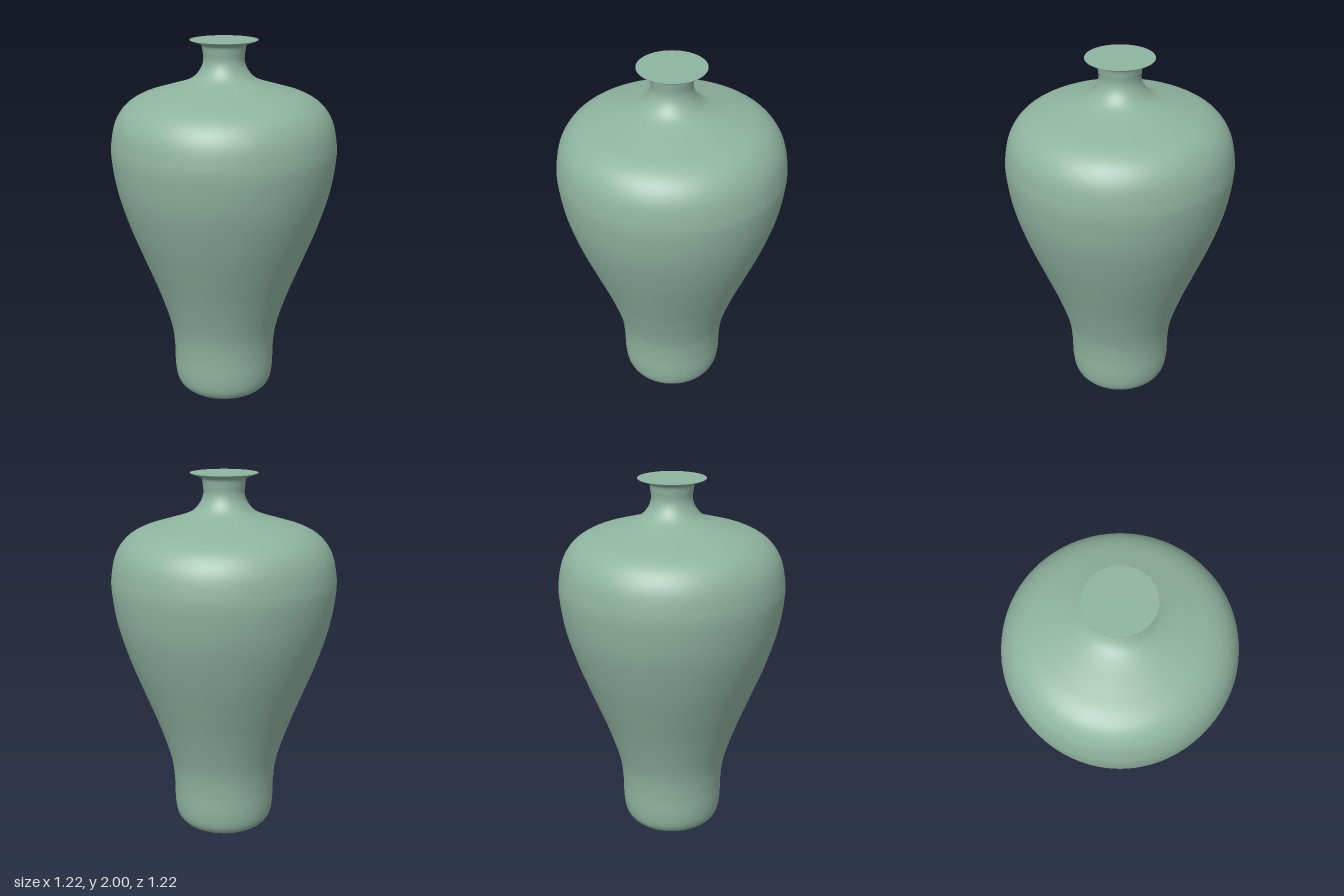
import * as THREE from 'three';

export function createModel() {
  const vase = new THREE.Group();
  vase.name = 'vase';
  const glaze = new THREE.MeshStandardMaterial({ color: 0x8fb3a0 });
  const segments = 96;

  // Profile from foot to lip, as [radius, height]
  const outline = [
    [0.19, 0.003], [0.235, 0.016], [0.268, 0.06], [0.281, 0.14], [0.284, 0.26],
    [0.302, 0.4], [0.365, 0.6], [0.443, 0.8], [0.52, 1.0], [0.58, 1.2],
    [0.607, 1.38], [0.603, 1.48], [0.58, 1.575], [0.53, 1.65], [0.455, 1.7],
    [0.35, 1.735], [0.24, 1.768], [0.172, 1.797], [0.13, 1.84], [0.11, 1.89],
    [0.113, 1.94], [0.12, 1.973], [0.145, 1.985], [0.18, 1.998],
  ].map(([r, y]) => new THREE.Vector2(r, y));
  const profile = new THREE.SplineCurve(outline).getPoints(120);

  // Body with its flat base and the thin edge of the lip
  const body = new THREE.Mesh(
    new THREE.LatheGeometry(
      [new THREE.Vector2(0, 0), new THREE.Vector2(0.15, 0), ...profile, new THREE.Vector2(0.18, 2)],
      segments,
    ),
    glaze,
  );
  body.name = 'body';

  // Flat disc closing the mouth
  const mouth = new THREE.Mesh(new THREE.CircleGeometry(0.18, segments), glaze);
  mouth.name = 'mouthDisc';
  mouth.rotation.x = -Math.PI / 2;
  mouth.position.y = 2;

  vase.add(body, mouth);
  return vase;
}
